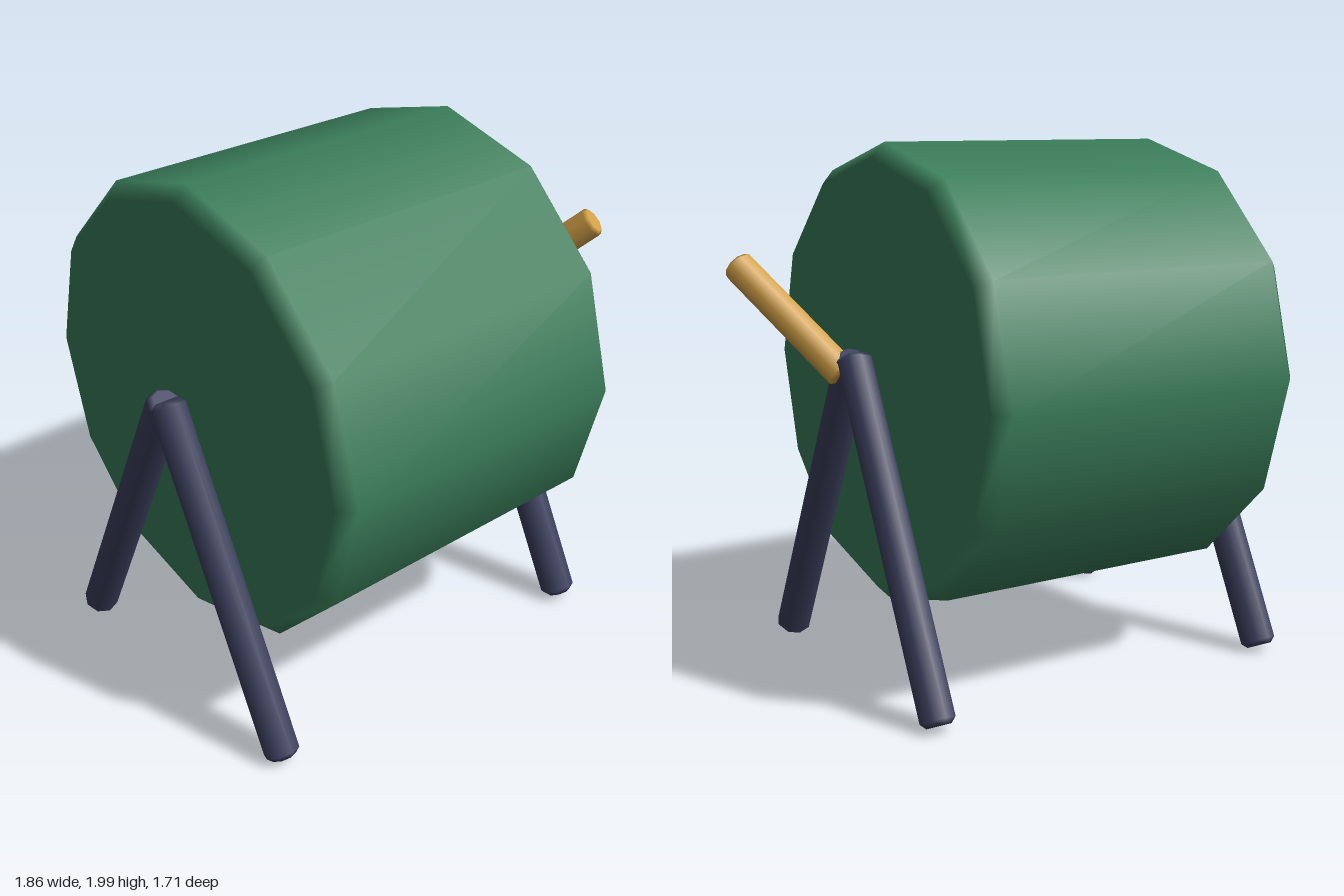
import * as THREE from 'three';

const green = new THREE.MeshStandardMaterial({ name: 'drum green', color: 0x3a7d5a });
const navy = new THREE.MeshStandardMaterial({ name: 'stand navy', color: 0x3b3f5c });
const gold = new THREE.MeshStandardMaterial({ name: 'handle gold', color: 0xd2a046 });

// Closed cylinder along y with bevelled rims: flat caps, smooth side, rounded bevel shading
function bevelledCylinder(radius, length, bevel, sides) {
  const h = length / 2, r = radius - bevel;
  const profile = [[0, -h], [r, -h], [radius, bevel - h], [radius, h - bevel], [r, h], [0, h]]
    .map(([x, y]) => new THREE.Vector2(x, y));
  const geometry = new THREE.LatheGeometry(profile, sides);
  const normal = geometry.attributes.normal;
  for (let i = 0; i <= sides; i++) {
    const a = (i / sides) * Math.PI * 2;
    for (let j = 0; j < 6; j++) {
      if (j === 2 || j === 3) normal.setXYZ(i * 6 + j, Math.sin(a), 0, Math.cos(a));
      else normal.setXYZ(i * 6 + j, 0, j < 2 ? -1 : 1, 0);
    }
  }
  return geometry;
}

// Bevelled bar between two points
function bar(name, from, to, radius, bevel, sides, material) {
  const a = new THREE.Vector3(...from), b = new THREE.Vector3(...to);
  const mesh = new THREE.Mesh(bevelledCylinder(radius, a.distanceTo(b), bevel, sides), material);
  mesh.name = name;
  mesh.position.copy(a).add(b).multiplyScalar(0.5);
  mesh.quaternion.setFromUnitVectors(new THREE.Vector3(0, 1, 0), b.sub(a).normalize());
  return mesh;
}

export function createModel() {
  const model = new THREE.Group();
  model.name = 'crankDrum';

  // Twelve-sided drum lying along x
  model.add(bar('drum', [-0.79, 1.147, 0], [0.51, 1.147, 0], 0.853, 0.055, 12, green));

  // A-shaped stand on each side
  for (const [side, x] of [['right', -0.87], ['left', 0.595]]) {
    const stand = new THREE.Group();
    stand.name = side + 'Stand';
    for (const [end, s] of [['Front', 1], ['Back', -1]]) {
      stand.add(bar(side + end + 'Leg', [x, 0.032, s * 0.6], [x, 1.238, 0], 0.067, 0.02, 8, navy));
    }
    model.add(stand);
  }

  // Slanted crank handle
  model.add(bar('crankHandle', [0.62, 1.165, 0.025], [0.872, 1.553, 0.4], 0.062, 0.015, 8, gold));

  return model;
}
